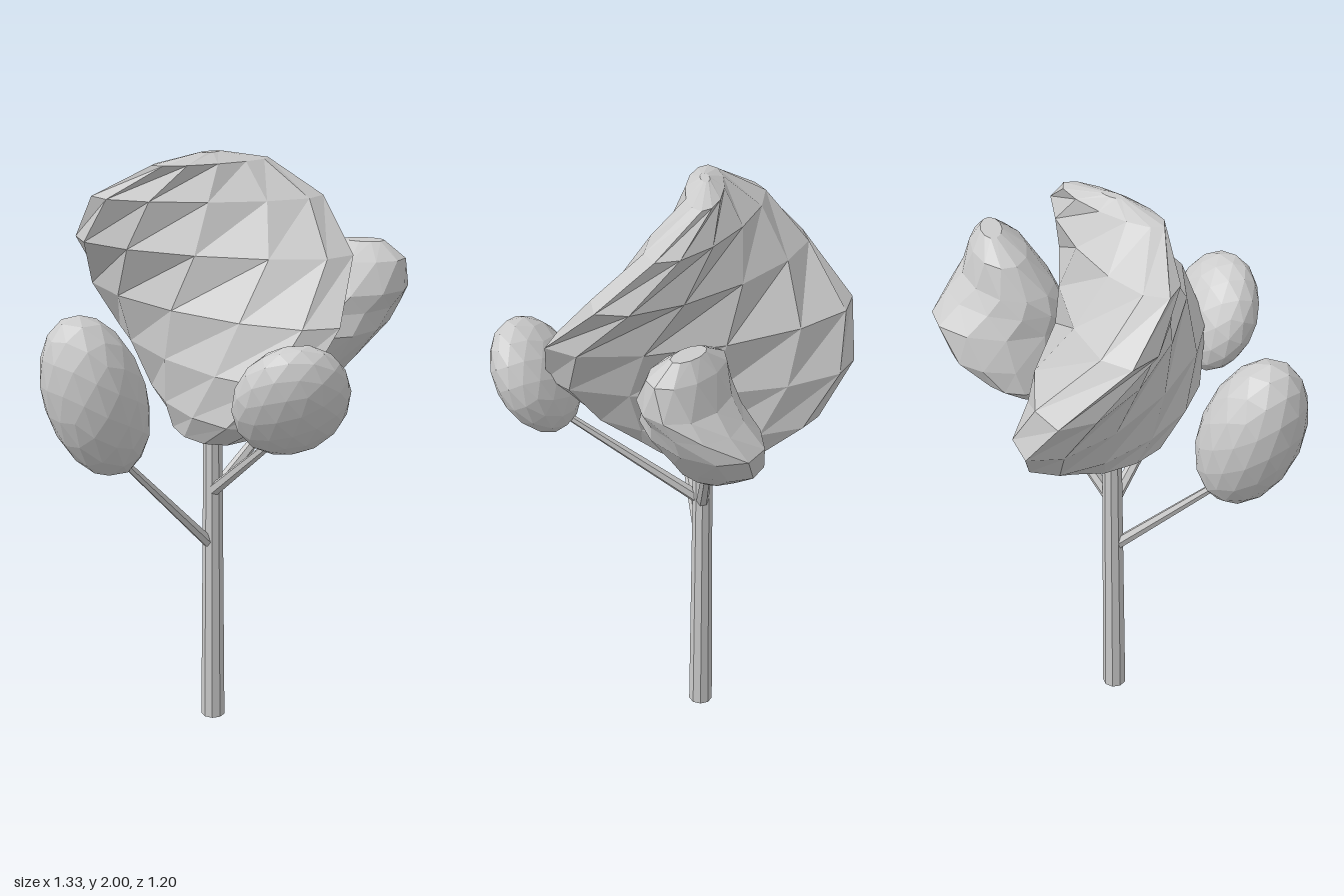
import * as THREE from 'three';

const material = new THREE.MeshStandardMaterial({ color: 0xcccccc, flatShading: true });

function addMesh(parent, name, geometry) {
  const mesh = new THREE.Mesh(geometry, material);
  mesh.name = name;
  parent.add(mesh);
  return mesh;
}

// Closed body of stacked elliptical rings, each turned about the vertical.
// ring: [y, centreX, centreZ, halfLength, halfWidth, degrees from z towards x]
function twistedBlob(rings, sides) {
  const pos = [], index = [];
  for (const [y, cx, cz, len, wid, deg] of rings) {
    const f = THREE.MathUtils.degToRad(deg);
    for (let j = 0; j < sides; j++) {
      const t = (j / sides) * Math.PI * 2;
      const a = len * Math.cos(t), b = wid * Math.sin(t);
      pos.push(cx + a * Math.sin(f) + b * Math.cos(f), y, cz + a * Math.cos(f) - b * Math.sin(f));
    }
  }
  for (let i = 0; i < rings.length - 1; i++) {
    for (let j = 0; j < sides; j++) {
      const a = i * sides + j, b = i * sides + ((j + 1) % sides);
      index.push(a, b, b + sides, a, b + sides, a + sides);
    }
  }
  // Flat end caps
  const top = (rings.length - 1) * sides;
  for (let j = 1; j < sides - 1; j++) {
    index.push(0, j + 1, j);
    index.push(top, top + j, top + j + 1);
  }
  const g = new THREE.BufferGeometry();
  g.setAttribute('position', new THREE.Float32BufferAttribute(pos, 3));
  g.setIndex(index);
  g.computeVertexNormals();
  return g;
}

// Tapered stem between two points
function stem(parent, name, from, to, r0, r1, sides) {
  const a = new THREE.Vector3(...from), b = new THREE.Vector3(...to);
  const dir = b.clone().sub(a);
  const mesh = addMesh(parent, name, new THREE.CylinderGeometry(r1, r0, dir.length(), sides));
  mesh.position.copy(a).add(b).multiplyScalar(0.5);
  mesh.quaternion.setFromUnitVectors(new THREE.Vector3(0, 1, 0), dir.normalize());
}

// Egg-shaped leaf cluster whose long axis leans along dir, turned about that axis
function leafCluster(parent, name, centre, dir, half, turn) {
  const mesh = addMesh(parent, name, new THREE.IcosahedronGeometry(1, 2));
  mesh.scale.set(...half);
  mesh.position.set(...centre);
  mesh.quaternion.setFromUnitVectors(new THREE.Vector3(0, 1, 0), new THREE.Vector3(...dir).normalize());
  mesh.rotateY(turn);
}

export function createModel() {
  const tree = new THREE.Group();
  tree.name = 'tree';

  // Trunk and branches
  stem(tree, 'trunk', [-0.02, 0, -0.08], [-0.015, 1.12, -0.08], 0.042, 0.032, 9);
  stem(tree, 'rightBranch', [-0.02, 0.65, -0.08], [-0.44, 1.1, -0.05], 0.021, 0.012, 6);
  stem(tree, 'leftBranch', [-0.02, 0.84, -0.08], [0.35, 1.21, -0.03], 0.022, 0.014, 6);
  stem(tree, 'frontBranch', [-0.02, 0.85, -0.08], [-0.08, 1.2, 0.38], 0.022, 0.012, 6);

  // Main crown: long in z at mid height, twisting to a thin ridge along x at the top
  addMesh(tree, 'mainCrown', twistedBlob([
    [1.06, -0.01, -0.08, 0.1, 0.09, -30],
    [1.09, -0.01, -0.08, 0.22, 0.14, -25],
    [1.19, -0.02, -0.08, 0.38, 0.165, -14],
    [1.35, -0.02, -0.075, 0.505, 0.185, -2],
    [1.52, -0.02, -0.08, 0.53, 0.19, 12],
    [1.7, -0.02, -0.08, 0.47, 0.165, 36],
    [1.86, -0.025, -0.09, 0.37, 0.12, 55],
    [1.97, -0.02, -0.08, 0.2, 0.06, 77],
    [2.0, -0.02, -0.08, 0.04, 0.015, 85],
  ], 12));

  // Left crown: smaller twisted cluster
  addMesh(tree, 'leftCrown', twistedBlob([
    [1.15, 0.31, -0.03, 0.07, 0.05, 112],
    [1.2, 0.35, -0.04, 0.12, 0.1, 117],
    [1.28, 0.405, -0.03, 0.19, 0.13, 120],
    [1.39, 0.45, 0.01, 0.235, 0.16, 115],
    [1.46, 0.45, 0.035, 0.215, 0.15, 88],
    [1.52, 0.455, 0.06, 0.2, 0.135, 62],
    [1.62, 0.485, 0.06, 0.16, 0.09, 45],
    [1.675, 0.51, 0.06, 0.07, 0.035, 40],
  ], 11));

  // Egg-shaped crowns
  leafCluster(tree, 'rightCrown', [-0.49, 1.285, -0.05], [-0.16, 0.53, 0], [0.16, 0.28, 0.17], 0);
  leafCluster(tree, 'frontCrown', [-0.11, 1.33, 0.455], [0, 0.36, 0.2], [0.18, 0.205, 0.115], -0.45);

  return tree;
}
